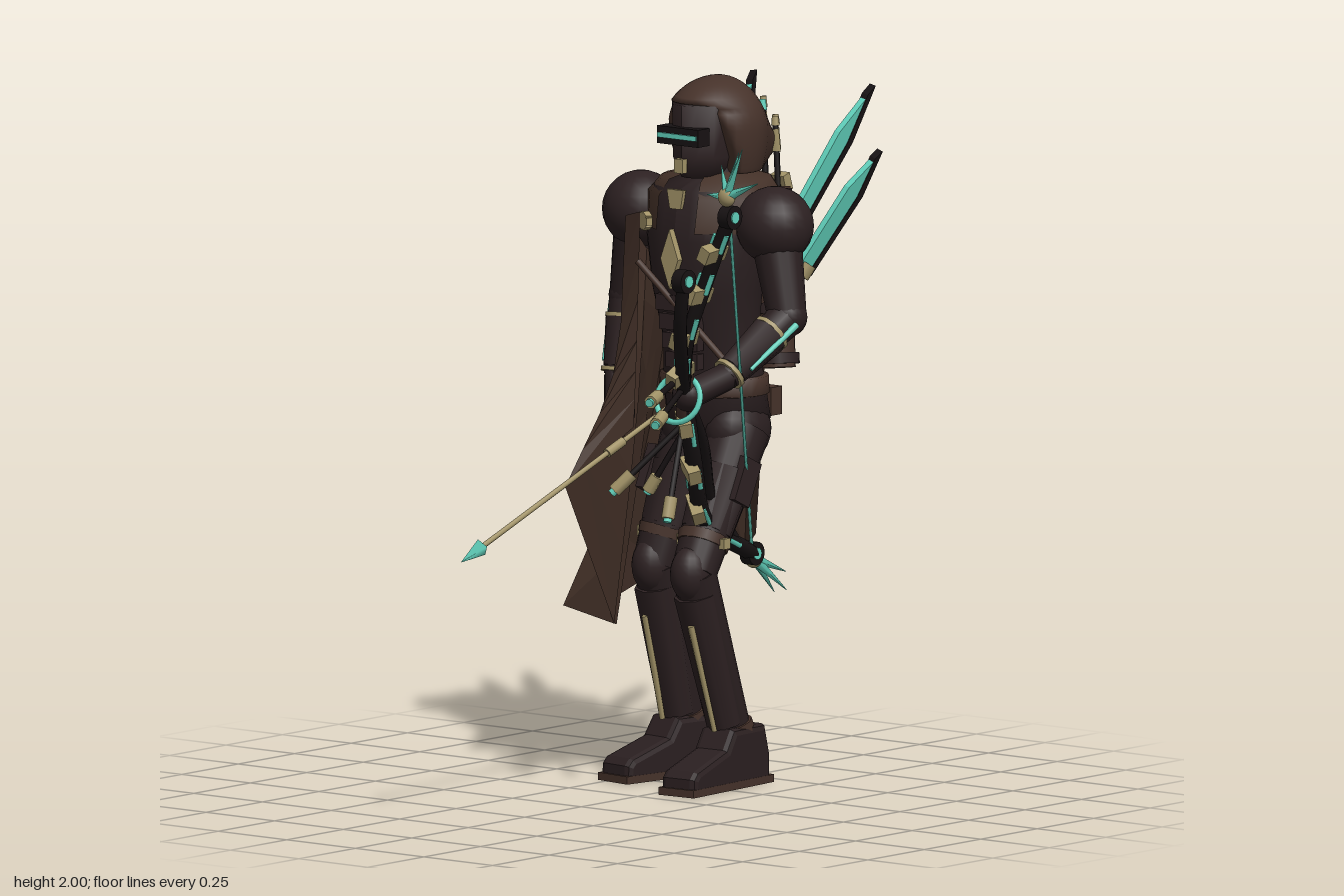
import * as THREE from 'three';

const mk = (name, color, side = THREE.FrontSide) => {
  const m = new THREE.MeshStandardMaterial({ color, side });
  m.name = name;
  return m;
};
const V = (p) => new THREE.Vector3(...p);
const UP = new THREE.Vector3(0, 1, 0);

export function createModel() {
  const root = new THREE.Group();
  root.name = 'hoodedArcher';
  const suit = mk('dark suit', 0x2a1f20), plate = mk('armour plate', 0x2d2122), black = mk('black metal', 0x171213);
  const brown = mk('brown leather', 0x46322a), cloth = mk('brown cloth', 0x443128, THREE.DoubleSide);
  const gold = mk('dull gold', 0xa39468), teal = mk('teal glow', 0x62d2bd);

  const add = (name, geo, mat, pos = [0, 0, 0], rot = [0, 0, 0], parent = root) => {
    const m = new THREE.Mesh(geo, mat);
    m.name = name;
    m.position.set(...pos);
    m.rotation.set(...rot);
    parent.add(m);
    return m;
  };
  const box = (name, mat, size, pos, rot) => add(name, new THREE.BoxGeometry(...size), mat, pos, rot);
  const ball = (name, mat, r, pos, s = [1, 1, 1]) => add(name, new THREE.SphereGeometry(r, 20, 14), mat, pos).scale.set(...s);
  // Tapered rod from p to q
  const rod = (name, mat, p, q, r1, r2 = r1, n = 12) => {
    const a = V(p), b = V(q), d = b.clone().sub(a);
    const m = add(name, new THREE.CylinderGeometry(r2, r1, d.length(), n), mat, a.clone().add(b).multiplyScalar(0.5).toArray());
    m.quaternion.setFromUnitVectors(UP, d.normalize());
    return m;
  };
  const mix = (p, q, t) => p.map((v, i) => v + (q[i] - v) * t);
  // Stacked oval sections: [y, cx, cz, rx, rz]; gap leaves the front open by that half angle
  const loft = (name, mat, rings, n = 24, gap = 0) => {
    const pos = [], idx = [];
    rings.forEach(([y, cx, cz, rx, rz], j) => {
      for (let i = 0; i <= n; i++) {
        const a = Math.PI / 2 + gap + (i / n) * 2 * (Math.PI - gap);
        pos.push(cx + Math.cos(a) * rx, y, cz + Math.sin(a) * rz);
        if (j < rings.length - 1 && i < n) {
          const l = j * (n + 1) + i, h = l + n + 1;
          idx.push(l, h, l + 1, l + 1, h, h + 1);
        }
      }
    });
    const g = new THREE.BufferGeometry();
    g.setAttribute('position', new THREE.Float32BufferAttribute(pos, 3));
    g.setIndex(idx);
    g.computeVertexNormals();
    return add(name, g, mat);
  };
  const extrude = (pts, depth, bevel = 0) => {
    const g = new THREE.ExtrudeGeometry(new THREE.Shape(pts.map((p) => new THREE.Vector2(...p))),
      { depth: depth - 2 * bevel, bevelEnabled: bevel > 0, bevelSize: bevel, bevelThickness: bevel, bevelOffset: -bevel, bevelSegments: 2 });
    return g.translate(0, 0, bevel - depth / 2);
  };

  // Torso, belt and chest details
  loft('torso', suit, [[0.92, -0.05, -0.42, 0.001, 0.001], [0.93, -0.05, -0.42, 0.07, 0.08], [1.03, -0.05, -0.42, 0.155, 0.135],
    [1.13, -0.05, -0.4, 0.158, 0.12], [1.25, -0.05, -0.385, 0.145, 0.115], [1.4, -0.05, -0.37, 0.165, 0.14],
    [1.55, -0.05, -0.37, 0.185, 0.15], [1.69, -0.05, -0.38, 0.17, 0.14], [1.72, -0.05, -0.4, 0.08, 0.08], [1.8, -0.05, -0.4, 0.065, 0.065]]);
  loft('belt', brown, [[1.1, -0.05, -0.4, 0.15, 0.12], [1.105, -0.05, -0.4, 0.17, 0.132], [1.155, -0.05, -0.4, 0.168, 0.13], [1.16, -0.05, -0.4, 0.14, 0.11]]);
  box('beltBuckle', gold, [0.05, 0.045, 0.02], [-0.05, 1.13, -0.268]);
  for (const x of [-0.13, 0.03]) box('beltPouch', brown, [0.08, 0.08, 0.05], [x, 1.07, -0.53]);
  for (let i = 0; i < 4; i++) box('abdomenPlate', plate, [0.15 - i * 0.012, 0.045, 0.03], [-0.05, 1.37 - i * 0.055, -0.245 - i * 0.008]);
  for (const s of [-1, 1]) {
    // Glowing strips low on the back
    box('backGlow', teal, [0.018, 0.2, 0.016], [-0.05 + s * 0.16, 1.44, -0.5], [0.1, 0, -s * 0.08]);
    box('backGlowClip', gold, [0.035, 0.03, 0.03], [-0.05 + s * 0.155, 1.33, -0.49]);
  }
  add('chestDiamond', extrude([[0, 0.085], [0.032, 0], [0, -0.085], [-0.032, 0]], 0.02), gold, [-0.05, 1.5, -0.21]);
  rod('chestStrap', brown, [-0.18, 1.48, -0.22], [0.1, 1.22, -0.262], 0.01);
  // Open-fronted mantle
  loft('mantle', cloth, [[1.575, -0.05, -0.4, 0.195, 0.185], [1.67, -0.05, -0.405, 0.2, 0.175], [1.715, -0.05, -0.41, 0.16, 0.15], [1.735, -0.05, -0.41, 0.08, 0.08]], 16, 0.36);
  add('collarTag', extrude([[-0.03, 0.03], [0.03, 0.03], [0.02, -0.025], [-0.02, -0.025]], 0.012), gold, [-0.05, 1.665, -0.232]);
  box('throatTag', gold, [0.03, 0.04, 0.02], [-0.05, 1.76, -0.25]);
  for (let i = 0; i < 3; i++) box('cloakClasp', gold, [0.05, 0.022, 0.02], [-0.165, 1.595, -0.235], [0, -0.4, i * 1.05]);

  // Hood: straight sides, cut back around the face, drawn to a point behind
  const hood = new THREE.SphereGeometry(0.142, 36, 28);
  const hp = hood.attributes.position;
  for (let i = 0; i < hp.count; i++) {
    let x = hp.getX(i), y = hp.getY(i), z = hp.getZ(i);
    if (y < 0) {
      const r = Math.hypot(x, z), k = r > 0.05 ? (0.142 - 1.2 * y * y) / r : 1;
      x *= k;
      z *= k;
      y = Math.max(y, -0.125);
    }
    if (y < 0.075) z = Math.min(z, 0.085 + y * 0.35);
    else z *= z > 0 ? 1.25 : 1;
    const t = Math.max(0, -z / 0.142), t3 = t * t * t;
    hp.setXYZ(i, x * (1 - 0.5 * t3), y * (1 - 0.55 * t3) - 0.08 * t3, z * (1 + 0.78 * t3));
  }
  hood.computeVertexNormals();
  add('hood', hood, brown, [-0.05, 1.858, -0.42]);
  loft('faceMask', plate, [[1.72, -0.05, -0.36, 0.001, 0.001], [1.722, -0.05, -0.36, 0.06, 0.08], [1.78, -0.05, -0.36, 0.085, 0.105],
    [1.93, -0.05, -0.36, 0.09, 0.105], [1.94, -0.05, -0.36, 0.001, 0.001]], 12);
  box('visor', black, [0.15, 0.05, 0.05], [-0.05, 1.845, -0.262]);
  box('visorGlow', teal, [0.14, 0.014, 0.008], [-0.05, 1.845, -0.235]);

  // Arms: shoulder, elbow, wrist, hand
  const arms = [
    [[0.19, 1.6, -0.375], [0.265, 1.35, -0.34], [0.215, 1.2, -0.13], [0.185, 1.16, 0.0]],
    [[-0.295, 1.6, -0.375], [-0.345, 1.35, -0.38], [-0.335, 1.13, -0.32], [-0.3, 1.03, -0.28]],
  ];
  for (const [s, e, w, h] of arms) {
    ball('shoulderPad', plate, 0.108, s, [1.05, 1.02, 1]);
    rod('upperArm', suit, s, e, 0.075, 0.055, 16);
    ball('elbow', suit, 0.057, e);
    rod('forearm', suit, e, w, 0.055, 0.04, 16);
    rod('bracer', plate, mix(e, w, 0.3), mix(e, w, 0.9), 0.06, 0.047, 8);
    for (const t of [0.25, 0.92]) rod('armBand', gold, mix(e, w, t), mix(e, w, t + 0.05), 0.062 - t * 0.012, 0.062 - t * 0.012);
    const o = [Math.sign(e[0]) * 0.057, 0, 0], off = (p) => p.map((v, i) => v + o[i]);
    rod('bracerGlow', teal, off(mix(e, w, 0.1)), off(mix(e, w, 0.85)), 0.01, 0.006, 6);
    rod('glove', suit, w, h, 0.04, 0.042, 10);
    ball('fist', suit, 0.047, h);
  }
  for (let i = 0; i < 3; i++) rod('fingers', suit, [-0.32 + i * 0.022, 1.03, -0.265], [-0.31 + i * 0.022, 0.97, -0.25], 0.014, 0.01, 6);

  // Legs: hip, knee, ankle
  const legs = [
    [[0.035, 1.0, -0.4], [0.06, 0.62, -0.175], [0.07, 0.13, -0.35], 0.06],
    [[-0.135, 1.0, -0.42], [-0.175, 0.61, -0.29], [-0.18, 0.13, -0.44], -0.15],
  ];
  const shoe = [[0.27, 0], [0.268, 0.05], [0.25, 0.07], [0.11, 0.115], [0.075, 0.17], [-0.075, 0.17], [-0.1, 0.08], [-0.1, 0]];
  for (const [h, k, a, turn] of legs) {
    const s = Math.sign(a[0]);
    const fwd = (p, dx, dz) => [p[0] + dx, p[1], p[2] + dz];
    ball('hip', suit, 0.1, h, [0.85, 1, 1.1]);
    rod('thigh', suit, h, k, 0.092, 0.064, 18);
    rod('thighPlate', plate, mix(h, k, 0.3), mix(h, k, 0.72), 0.09, 0.076, 8);
    rod('thighStrap', brown, mix(h, k, 0.74), mix(h, k, 0.81), 0.077, 0.074, 12);
    ball('kneePad', plate, 0.068, fwd(k, 0, 0.008), [0.85, 1.2, 1]);
    rod('shin', suit, k, a, 0.064, 0.048, 18);
    rod('greave', plate, fwd(mix(k, a, 0.12), 0, 0.012), fwd(mix(k, a, 0.9), 0, 0.03), 0.064, 0.052, 8);
    rod('shinStripe', gold, fwd(mix(k, a, 0.3), s * 0.008, 0.078), fwd(mix(k, a, 0.93), s * 0.008, 0.092), 0.01, 0.008, 6);
    rod('ankleStrap', brown, mix(k, a, 0.9), mix(k, a, 0.98), 0.058, 0.06, 10);
    add('boot', extrude(shoe, 0.12, 0.018), suit, [a[0], 0, a[2] + 0.01], [0, turn - Math.PI / 2, 0]);
    add('sole', extrude([[0.275, 0], [0.275, 0.022], [-0.11, 0.022], [-0.11, 0]], 0.122), brown, [a[0], 0, a[2] + 0.01], [0, turn - Math.PI / 2, 0]);
    box('thighHolster', plate, [0.03, 0.13, 0.07], [h[0] + s * 0.09, 0.87, h[2] + 0.08], [-0.45, 0, 0]);
    for (const d of [-1, 1]) box('strapStud', gold, [0.02, 0.03, 0.03], fwd(mix(h, k, 0.775), d * 0.076, 0));
  }

  // Cape: each fold runs through shoulder, middle and hem points
  const folds = [
    [0.02, 1.6, -0.53, 0, 1.1, -0.56, -0.03, 0.68, -0.56], [-0.08, 1.62, -0.56, -0.12, 1.1, -0.64, -0.17, 0.6, -0.68],
    [-0.14, 1.62, -0.54, -0.2, 1.1, -0.61, -0.23, 0.72, -0.66], [-0.19, 1.62, -0.53, -0.3, 1.1, -0.66, -0.4, 0.75, -0.78],
    [-0.23, 1.6, -0.5, -0.33, 1.05, -0.57, -0.43, 0.54, -0.65], [-0.25, 1.58, -0.48, -0.41, 1.0, -0.57, -0.58, 0.43, -0.57],
    [-0.24, 1.55, -0.44, -0.36, 1.0, -0.48, -0.48, 0.385, -0.49], [-0.23, 1.5, -0.4, -0.35, 0.95, -0.4, -0.51, 0.46, -0.29],
    [-0.23, 1.5, -0.32, -0.27, 1.05, -0.33, -0.39, 0.41, -0.37], [-0.25, 1.6, -0.25, -0.27, 1.15, -0.22, -0.33, 0.84, -0.08],
    [-0.18, 1.62, -0.23, -0.2, 1.25, -0.24, -0.22, 1.0, -0.25],
  ];
  const cp = [], ci = [];
  folds.forEach((f, i) => {
    const c = new THREE.CatmullRomCurve3([V(f.slice(0, 3)), V(f.slice(3, 6)), V(f.slice(6))]);
    c.getPoints(6).forEach((p, j) => {
      cp.push(...p.toArray());
      const a = i * 7 + j;
      if (i < folds.length - 1 && j < 6) ci.push(a, a + 1, a + 7, a + 1, a + 8, a + 7);
    });
  });
  let cape = new THREE.BufferGeometry();
  cape.setAttribute('position', new THREE.Float32BufferAttribute(cp, 3));
  cape.setIndex(ci);
  cape = cape.toNonIndexed();
  cape.computeVertexNormals();
  add('cape', cape, cloth);

  // Quiver with arrows
  const qb = [0.055, 1.16, -0.555], qt = [-0.02, 1.66, -0.61];
  rod('quiver', brown, qb, qt, 0.05, 0.058, 16);
  for (const t of [0.02, 0.3, 0.93]) rod('quiverBand', plate, mix(qb, qt, t), mix(qb, qt, t + 0.06), 0.062, 0.062, 16);
  box('quiverClip', gold, [0.05, 0.05, 0.03], [-0.02, 1.67, -0.66], [0.3, 0, 0]);
  for (let i = 0; i < 5; i++) {
    const a = i * 1.257, p = [qt[0] + 0.032 * Math.cos(a), 1.6, qt[2] + 0.03 * Math.sin(a)], q = [p[0] - 0.03, 1.86 + (i % 2) * 0.05, p[2] - 0.02];
    rod('spareArrow', black, p, q, 0.008, 0.008, 6);
    rod('spareFletching', gold, mix(p, q, 0.62), mix(p, q, 0.86), 0.016, 0.012, 4);
    rod('spareNock', i === 1 ? teal : gold, mix(p, q, 0.9), q, 0.012, 0.009, 6);
  }
  // Four glowing blades on the back
  for (const s of [-1, 1]) for (const [b, t] of [[[0.12, 1.53, -0.58], [0.217, 1.945, -0.835]], [[0.215, 1.45, -0.53], [0.342, 1.785, -0.715]]]) {
    const p = [s * b[0] - 0.05, b[1], b[2]], q = [s * t[0] - 0.05, t[1], t[2]];
    const y = V(q).sub(V(p)), len = y.length(), z = new THREE.Vector3().crossVectors(new THREE.Vector3(0, -0.5, -0.87), y).normalize();
    y.normalize();
    const g = new THREE.Group();
    g.name = 'backBlade';
    g.position.set(...p);
    g.quaternion.setFromRotationMatrix(new THREE.Matrix4().makeBasis(new THREE.Vector3().crossVectors(y, z), y, z));
    root.add(g);
    add('bladeGlow', extrude([[-0.032, 0], [0.02, 0], [0.026, len * 0.6], [0.004, len * 0.97], [-0.032, len * 0.66]], 0.02), teal, [0, 0, 0], [0, 0, 0], g);
    add('bladeSpine', extrude([[0.014, 0], [0.03, 0], [0.034, len * 0.66], [0.004, len], [-0.006, len * 0.93], [0.016, len * 0.64]], 0.024), black, [0, 0, 0], [0, 0, 0], g);
    rod('bladeMount', gold, mix(p, q, -0.04), mix(p, q, 0.06), 0.028, 0.028, 8);
  }

  // Bow limbs
  const tube = (name, mat, pts, r) => {
    const c = new THREE.CatmullRomCurve3(pts.map(V));
    add(name, new THREE.TubeGeometry(c, 24, r, 8), mat);
    return c;
  };
  const top = [0.455, 1.71, 0.145], low = [0.03, 0.64, -0.47], curl = [0.365, 1.53, 0.24], grip = [0.185, 1.17, 0.02];
  const upper = tube('upperLimb', black, [grip, [0.27, 1.33, 0.11], [0.36, 1.53, 0.125], top], 0.022);
  tube('upperInnerLimb', black, [grip, [0.26, 1.27, 0.12], [0.32, 1.4, 0.2], curl], 0.02);
  const lower = tube('lowerLimb', black, [grip, [0.14, 0.95, -0.08], [0.08, 0.77, -0.2], low], 0.024);
  tube('lowerInnerLimb', black, [grip, [0.13, 1.0, -0.13], [0.07, 0.82, -0.24], [0.05, 0.7, -0.36]], 0.018);
  for (const c of [upper, lower]) for (const t of [0.14, 0.36, 0.58, 0.8]) {
    const p = c.getPoint(t).toArray(), d = c.getTangent(t);
    const m = box('limbPlate', gold, [0.036, 0.045, 0.085], [p[0], p[1], p[2] + 0.018]);
    m.quaternion.setFromUnitVectors(UP, d);
    const q = c.getPoint(t + 0.1).toArray();
    for (const o of [-0.02, 0.02]) rod('limbGlow', teal, [p[0] + o, p[1], p[2] + 0.01], [q[0] + o, q[1], q[2] + 0.01], 0.008, 0.008, 6);
  }
  for (const [x, y, z] of [top, curl, low]) {
    rod('limbWheel', black, [x - 0.018, y, z], [x + 0.018, y, z], 0.034, 0.034, 16);
    rod('wheelGlow', teal, [x - 0.022, y, z], [x + 0.022, y, z], 0.017, 0.017, 12);
  }
  rod('bowString', teal, top, low, 0.0045, 0.0045, 6);
  add('sightRing', new THREE.TorusGeometry(0.068, 0.009, 8, 28), teal, [0.185, 1.155, 0.045], [-0.35, 0.2, 0]);
  rod('bowGrip', brown, [0.16, 1.08, -0.02], [0.21, 1.26, 0.05], 0.028, 0.028, 10);
  // Spiked tips
  const star = (c, tips) => {
    ball('tipHub', gold, 0.028, c, [1, 1, 0.7]);
    for (const t of tips) rod('tipSpike', teal, c, t, 0.016, 0.001, 4);
  };
  star([0.46, 1.77, 0.165], [[0.53, 1.915, 0.18], [0.578, 1.82, 0.17], [0.445, 1.86, 0.17], [0.5, 1.9, 0.16], [0.385, 1.77, 0.16]]);
  star([0.01, 0.62, -0.5], [[-0.02, 0.505, -0.63], [-0.1, 0.58, -0.6], [0.04, 0.52, -0.61], [-0.07, 0.64, -0.56], [0.03, 0.57, -0.62]]);
  // Canisters on stalks
  for (const [p, q] of [[[0.2, 1.22, 0.05], [0.28, 1.18, 0.29]], [[0.2, 1.18, 0.05], [0.31, 1.12, 0.3]], [[0.17, 1.08, 0], [0.02, 0.88, 0.14]],
    [[0.16, 1.05, 0], [0.19, 0.81, 0.1]], [[0.15, 1.05, -0.02], [0.05, 0.87, 0.02]]]) {
    rod('canisterStalk', black, p, mix(p, q, 0.8), 0.009, 0.009, 6);
    rod('canister', gold, mix(p, q, 0.72), mix(p, q, 0.96), 0.019, 0.019, 8);
    rod('canisterTip', teal, mix(p, q, 0.96), q, 0.012, 0.012, 8);
  }

  // Nocked arrow
  const ab = [0.2, 1.24, -0.17], at = [0.045, 0.77, 0.835];
  rod('arrowShaft', gold, ab, mix(ab, at, 0.95), 0.008, 0.008, 8);
  rod('arrowCollar', gold, mix(ab, at, 0.4), mix(ab, at, 0.46), 0.014, 0.014, 8);
  rod('arrowHead', teal, mix(ab, at, 0.925), at, 0.025, 0.001, 4);
  rod('arrowFletching', teal, mix(ab, at, 0), mix(ab, at, 0.1), 0.016, 0.008, 4);
  return root;
}
